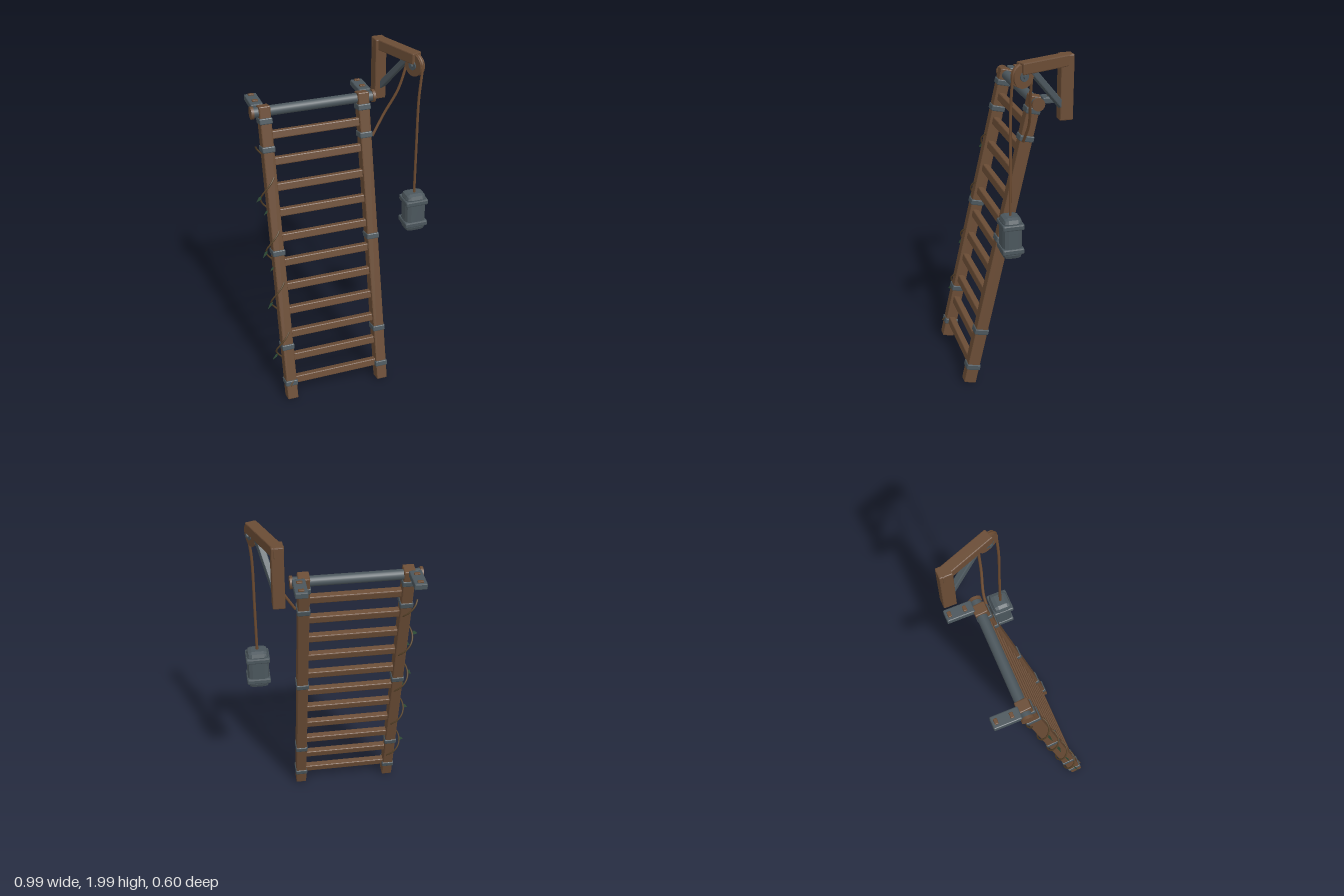
import * as THREE from 'three';
import { RoundedBoxGeometry } from 'three/addons/geometries/RoundedBoxGeometry.js';

const mat = (name, color, side = THREE.FrontSide) => {
  const m = new THREE.MeshStandardMaterial({ color, side });
  m.name = name;
  return m;
};

export function createModel() {
  const wood = mat('wood', 0x6a4c35);
  const steel = mat('steel', 0x4b565c);
  const ropeMat = mat('rope', 0x6b4a30);
  const vineMat = mat('vine', 0x554128);
  const leafMat = mat('leaf', 0x31503a, THREE.DoubleSide);

  const model = new THREE.Group();
  model.name = 'ladderWithHoist';
  const V = (x, y, z) => new THREE.Vector3(x, y, z);

  const add = (parent, name, geometry, material, x = 0, y = 0, z = 0) => {
    const mesh = new THREE.Mesh(geometry, material);
    mesh.name = name;
    mesh.position.set(x, y, z);
    parent.add(mesh);
    return mesh;
  };
  // Box with flat chamfered edges
  const chamferBox = (w, h, d, bevel = 0.006) => {
    const g = new RoundedBoxGeometry(w, h, d, 1, bevel);
    g.computeVertexNormals();
    return g;
  };
  // Cylinder lying along x
  const rod = (r, length, sides = 20) =>
    new THREE.CylinderGeometry(r, r, length, sides).rotateZ(Math.PI / 2);
  const tube = (points, r, segments) =>
    new THREE.TubeGeometry(new THREE.CatmullRomCurve3(points), segments, r, 8);

  // Leaning ladder: local y runs along the rails
  const lean = 0.2224, cos = Math.cos(lean);
  const along = y => (y - 0.012) / cos;
  const ladder = new THREE.Group();
  ladder.name = 'ladder';
  ladder.position.set(0, 0.012, 0.265);
  ladder.rotation.x = -lean;
  model.add(ladder);

  const railX = [-0.391, 0.175];
  for (const x of railX) {
    add(ladder, 'rail', chamferBox(0.064, 1.777, 0.072), wood, x, 0.8885, 0);
    for (const y of [0.115, 0.345, 0.92, 1.51, 1.665])
      add(ladder, 'railStrap', chamferBox(0.074, 0.035, 0.083), steel, x, along(y), 0);
  }
  for (let i = 0; i < 11; i++)
    add(ladder, 'rung', chamferBox(0.53, 0.046, 0.04), wood, -0.108, along(0.122 + i * 0.146), 0);

  // Vine winding up the rail, with leaves on its outer side
  const vineX = -0.41, turn = 0.305;
  const vineAt = y => {
    const a = (y - 0.4) / turn * Math.PI * 2;
    return V(vineX + 0.046 * Math.sin(a), along(y), 0.046 * Math.cos(a));
  };
  const vinePoints = [];
  for (let i = 0; i <= 60; i++) vinePoints.push(vineAt(0.1 + 1.43 * i / 60));
  add(ladder, 'vine', tube(vinePoints, 0.005, 180), vineMat);

  const leafShape = new THREE.Shape();
  leafShape.moveTo(0, 0);
  leafShape.lineTo(0.014, 0.018);
  leafShape.lineTo(0, 0.052);
  leafShape.lineTo(-0.014, 0.018);
  const leafGeometry = new THREE.ShapeGeometry(leafShape);
  [0.31, 0.63, 0.94, 1.255, 1.17, 0.84].forEach((y, i) => {
    const leaf = add(ladder, 'leaf', leafGeometry, leafMat, i < 4 ? -0.45 : -0.425, along(y), 0.012);
    leaf.rotation.set(0.3, 0.5, 2.0 + (i % 3) * 0.15);
    if (i > 3) leaf.scale.setScalar(0.75);
  });

  // Top bar with wooden end caps and rear hooks
  add(model, 'topBar', rod(0.029, 0.69), steel, -0.108, 1.71, -0.125);
  for (const x of [-0.457, 0.242])
    add(model, 'barEndCap', rod(0.036, 0.016), wood, x, 1.71, -0.125);
  for (const x of [-0.418, 0.205]) {
    add(model, 'rearHook', chamferBox(0.07, 0.036, 0.152), steel, x, 1.727, -0.227);
    for (const z of [-0.28, -0.196])
      add(model, 'hookPeg', chamferBox(0.032, 0.012, 0.02, 0.003), wood, x, 1.747, z);
  }

  // Hoist post and angled arm
  add(model, 'hoistPost', chamferBox(0.066, 0.355, 0.074), wood, 0.321, 1.8225, -0.246);
  const arm = new THREE.Group();
  arm.name = 'hoistArm';
  arm.position.set(0.322, 0, -0.25);
  arm.rotation.y = 0.36;
  model.add(arm);
  add(arm, 'armBeam', chamferBox(0.063, 0.062, 0.335), wood, 0, 1.969, 0.14);

  // Diagonal brace under the arm
  const from = V(0, 1.715, 0.02), to = V(0, 1.95, 0.235);
  const brace = add(arm, 'brace', chamferBox(0.036, 0.036, from.distanceTo(to)), steel);
  brace.position.copy(from).lerp(to, 0.5);
  brace.rotation.x = -Math.atan2(to.y - from.y, to.z - from.z);

  // Pulley wheel at the arm's tip
  const wheelY = 1.928, wheelZ = 0.292;
  add(arm, 'pulleyWheel', rod(0.056, 0.016, 24), wood, 0, wheelY, wheelZ);
  for (const s of [-1, 1])
    add(arm, 'pulleyFlange', rod(0.063, 0.008, 24), wood, s * 0.012, wheelY, wheelZ);
  add(arm, 'pulleyAxle', rod(0.026, 0.046), steel, 0, wheelY, wheelZ);
  add(arm, 'axlePin', rod(0.012, 0.07, 12), steel, 0, wheelY, wheelZ);

  // Rope: up from the weight, over the wheel and down to the rail
  const wrap = [];
  for (let i = 0; i <= 8; i++) {
    const a = Math.PI * i / 8;
    const z = wheelZ + 0.06 * Math.cos(a);
    wrap.push(V(0.322 + Math.sin(0.36) * z, wheelY + 0.06 * Math.sin(a), -0.25 + Math.cos(0.36) * z));
  }
  add(model, 'rope', tube([
    V(0.427, 1.15, 0.085), V(0.428, 1.45, 0.085), V(0.43, 1.75, 0.086), ...wrap,
    V(0.36, 1.77, -0.04), V(0.285, 1.62, -0.06), V(0.215, 1.5, -0.05),
  ], 0.008, 140), ropeMat);

  // Hanging counterweight
  const weight = new THREE.Group();
  weight.name = 'counterweight';
  weight.position.set(0.427, 1.05, 0.083);
  model.add(weight);
  add(weight, 'weightBody', chamferBox(0.124, 0.24, 0.108, 0.028), steel);
  for (const y of [-0.07, 0.07])
    add(weight, 'weightBand', chamferBox(0.136, 0.034, 0.12, 0.008), steel, 0, y, 0);

  return model;
}
